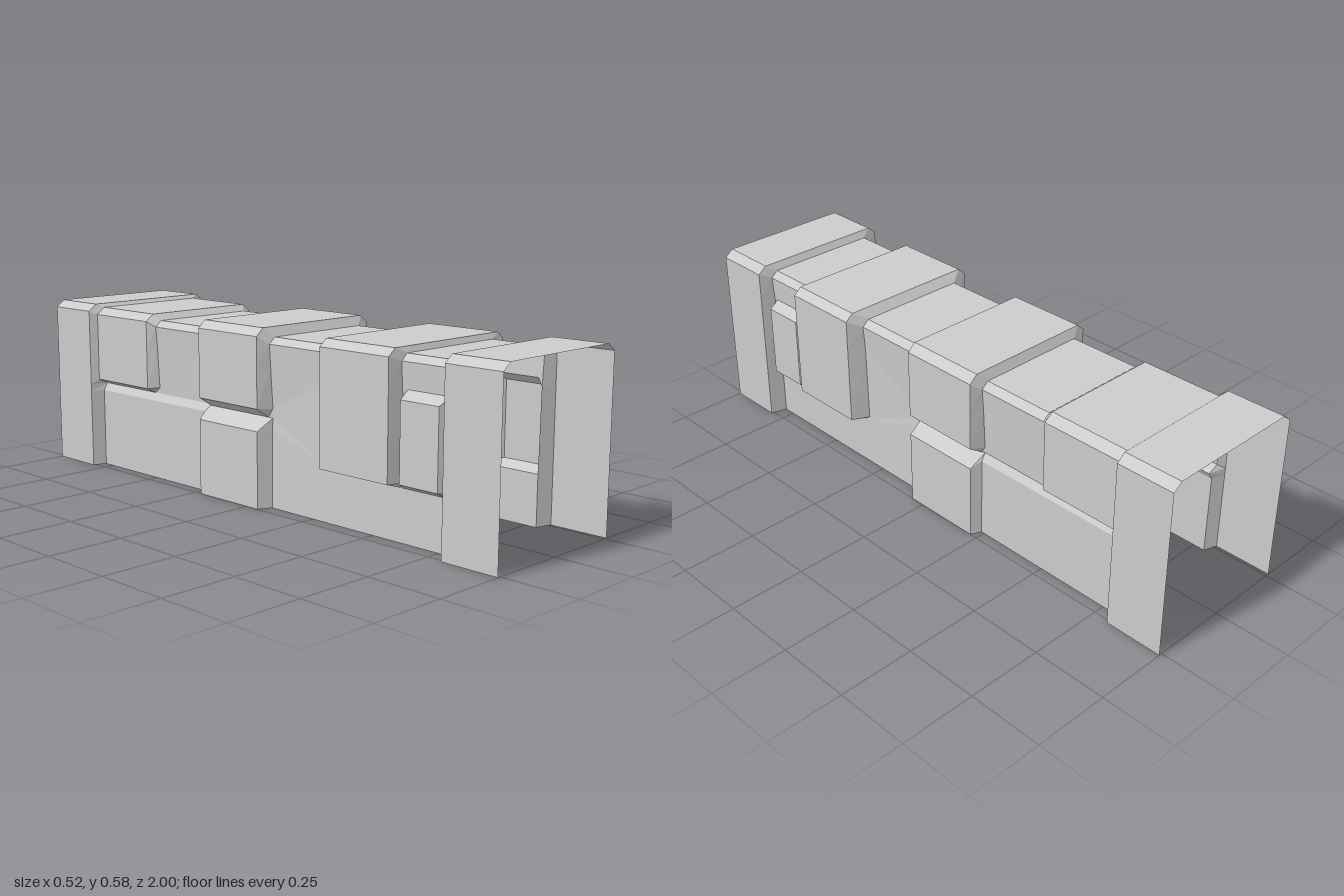
import * as THREE from 'three';

// Half cross-sections on the +x side, from the foot up to the roof edge, as [x, y]
const pillar = (...ys) => [
  [0.26, 0], ...ys.map((y) => [0.26, y]), [0.26, 0.555], [0.23, 0.578],
];
const frontPillar = pillar(0.165, 0.18, 0.43, 0.455);
const rearPillar = pillar(0.27, 0.295, 0.315, 0.45);
const ventRecess = [[0.205, 0], [0.205, 0.165], [0.205, 0.18], [0.21, 0.43], [0.213, 0.455], [0.218, 0.535], [0.195, 0.555]];
const ventBlock = [[0.205, 0], [0.205, 0.165], [0.245, 0.185], [0.245, 0.43], [0.213, 0.455], [0.218, 0.535], [0.195, 0.555]];
const frontBlock = [[0.205, 0], [0.205, 0.165], [0.262, 0.182], [0.262, 0.43], [0.262, 0.455], [0.262, 0.55], [0.235, 0.573]];
const frontRecess = [[0.205, 0], [0.204, 0.165], [0.204, 0.18], [0.208, 0.43], [0.209, 0.455], [0.214, 0.525], [0.19, 0.545]];
const midRecess = [[0.205, 0], [0.203, 0.25], [0.2, 0.29], [0.2, 0.32], [0.209, 0.45], [0.214, 0.525], [0.19, 0.545]];
const midBlock = [[0.25, 0], [0.25, 0.25], [0.2, 0.29], [0.25, 0.322], [0.25, 0.45], [0.25, 0.55], [0.222, 0.575]];
const rearRecess = [[0.215, 0], [0.215, 0.27], [0.2, 0.295], [0.201, 0.315], [0.208, 0.45], [0.214, 0.525], [0.19, 0.545]];
const rearBlock = [[0.215, 0], [0.215, 0.27], [0.2, 0.295], [0.235, 0.312], [0.235, 0.45], [0.235, 0.543], [0.205, 0.566]];

// Stations from front to back
const stations = [
  [1, frontPillar], [0.805, frontPillar],
  [0.79, ventRecess], [0.775, ventBlock], [0.635, ventBlock], [0.615, ventRecess],
  [0.605, frontBlock], [0.335, frontBlock],
  [0.31, frontRecess], [0.07, midRecess],
  [0.05, midBlock], [-0.225, midBlock],
  [-0.24, rearRecess], [-0.49, rearRecess],
  [-0.515, rearBlock], [-0.79, rearBlock],
  [-0.805, rearPillar], [-1, rearPillar],
];

// Skin the arch between profile points first and last along all stations
function skin(first, last) {
  const rings = stations.map(([z, half]) => {
    const mirrored = half.map(([x, y]) => [-x, y]).reverse();
    return [...half, ...mirrored].slice(first, last + 1).map(([x, y]) => [x, y, z]);
  });
  const pos = [];
  for (let s = 0; s < rings.length - 1; s++) {
    for (let i = 0; i < last - first; i++) {
      const a = rings[s][i], b = rings[s + 1][i];
      const c = rings[s + 1][i + 1], d = rings[s][i + 1];
      pos.push(...a, ...b, ...c, ...a, ...c, ...d);
    }
  }
  const geo = new THREE.BufferGeometry();
  geo.setAttribute('position', new THREE.Float32BufferAttribute(pos, 3));
  geo.computeVertexNormals();
  return geo;
}

export function createModel() {
  const group = new THREE.Group();
  group.name = 'corridorShell';
  const material = new THREE.MeshStandardMaterial({
    color: 0xcccccc, flatShading: true, side: THREE.DoubleSide,
  });
  const parts = { leftWall: [0, 5], roof: [5, 8], rightWall: [8, 13] };
  for (const [name, [first, last]] of Object.entries(parts)) {
    const mesh = new THREE.Mesh(skin(first, last), material);
    mesh.name = name;
    group.add(mesh);
  }
  return group;
}
